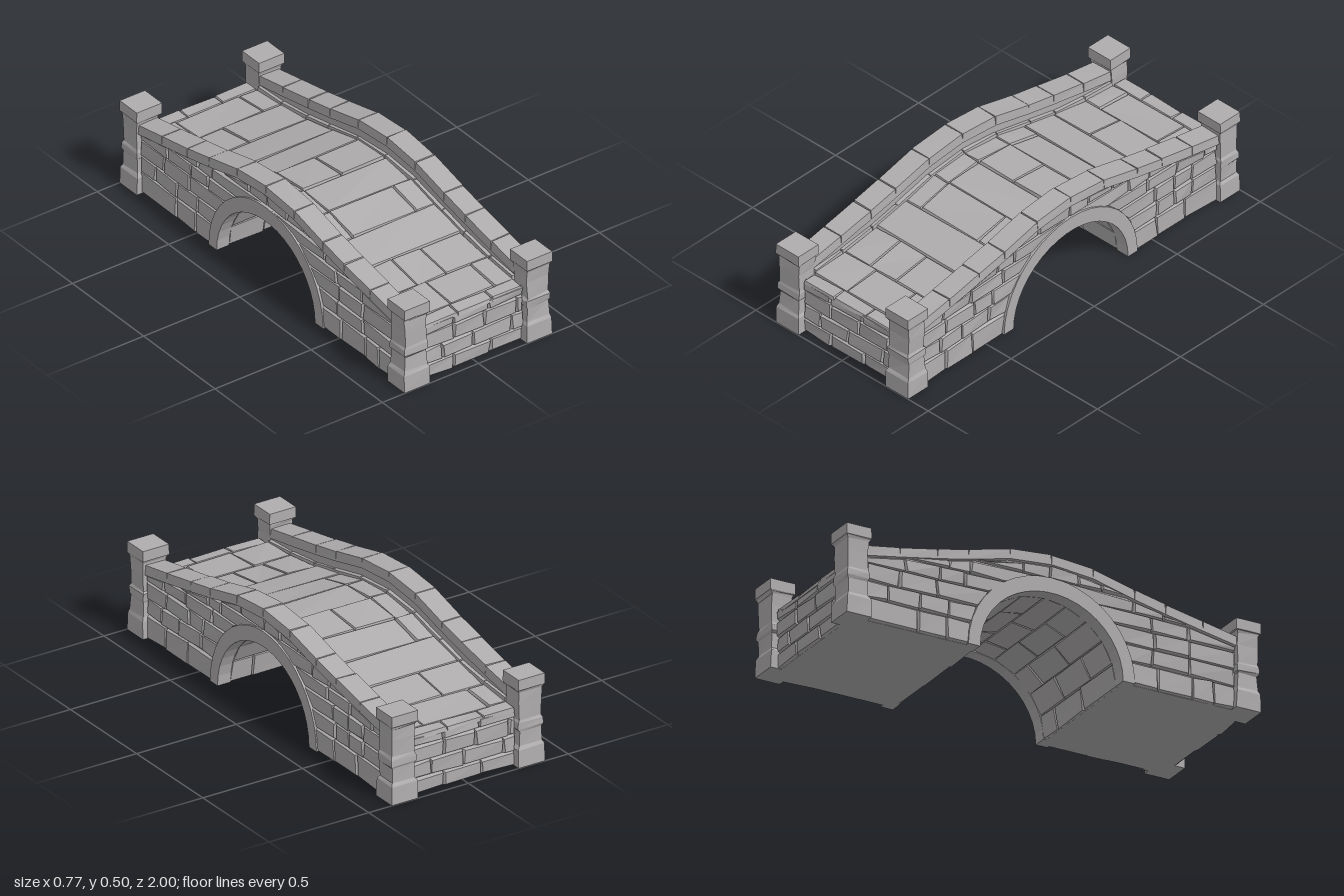
import * as THREE from 'three';
import { mergeGeometries } from 'three/addons/utils/BufferGeometryUtils.js';

const V = (x, y, z) => new THREE.Vector3(x, y, z);

// small seeded generator for uneven masonry
let seed = 7;
const rnd = (a, b) => {
  seed = (seed * 16807) % 2147483647;
  return a + (b - a) * (seed / 2147483647);
};

// straight-line interpolation through [z, y] points, mirrored in z
const profile = (pts) => (z) => {
  const d = Math.abs(z);
  for (let i = 1; i < pts.length; i++) {
    const [z0, y0] = pts[i - 1], [z1, y1] = pts[i];
    if (d <= z1) return y0 + (y1 - y0) * (d - z0) / (z1 - z0);
  }
  return pts[pts.length - 1][1];
};
const deckY = profile([[0, .406], [.19, .39], [.36, .351], [.54, .311], [.73, .284], [.9, .271], [.97, .267]]);
const copingY = profile([[0, .5], [.2, .482], [.4, .432], [.55, .4], [.73, .365], [.9, .334]]);
const COPING = .045;
const wallTop = (z) => copingY(z) - COPING;
const ringZ = (y) => .4 * Math.sqrt(Math.max(0, 1 - (y / .395) ** 2));

// six-sided block from a lower and an upper loop of four corners
function block(b, t) {
  const pos = [];
  const quad = (p, q, r, s) => [p, q, r, p, r, s].forEach((v) => pos.push(v.x, v.y, v.z));
  quad(t[0], t[1], t[2], t[3]);
  quad(b[3], b[2], b[1], b[0]);
  for (let i = 0; i < 4; i++) {
    const j = (i + 1) % 4;
    quad(b[i], b[j], t[j], t[i]);
  }
  const g = new THREE.BufferGeometry();
  g.setAttribute('position', new THREE.Float32BufferAttribute(pos, 3));
  g.computeVertexNormals();
  return g;
}

// rough stone raised from a quad along dir, with chamfered rim
function stone(quad, dir, depth, bevel, rough) {
  const n = V(0, 0, 0).crossVectors(quad[2].clone().sub(quad[0]), quad[3].clone().sub(quad[1]));
  const q = n.dot(dir) < 0 ? [...quad].reverse() : quad;
  const top = q.map((p, i) => {
    const v = p.clone().addScaledVector(dir, depth + rnd(-rough, rough));
    for (const k of [1, 3]) {
      const e = q[(i + k) % 4].clone().sub(p);
      const len = e.length();
      v.addScaledVector(e.normalize(), Math.min(bevel * rnd(.3, 1.4), len * .4));
    }
    return v;
  });
  return block(q, top);
}

const extrudeX = (shape, x0, x1) =>
  new THREE.ExtrudeGeometry(shape, { depth: x1 - x0, bevelEnabled: false }).rotateY(Math.PI / 2).translate(x0, 0, 0);

// solid slab in the z-y plane with an arched opening, spanning x0..x1
function slab(x0, x1, topFn, zEnd, rz, ry) {
  const s = new THREE.Shape();
  s.moveTo(-zEnd, 0);
  s.lineTo(-rz, 0);
  for (let i = 1; i <= 28; i++) {
    const a = Math.PI * (1 - i / 28);
    s.lineTo(rz * Math.cos(a), ry * Math.sin(a));
  }
  s.lineTo(zEnd, 0);
  const zs = [.9, .73, .54, .36, .19, 0];
  for (const z of [zEnd, ...zs, ...zs.slice(0, -1).reverse().map((z) => -z), -zEnd]) s.lineTo(z, topFn(z));
  return extrudeX(s, x0, x1);
}

export function createModel() {
  seed = 7;
  const group = new THREE.Group();
  const grey = new THREE.MeshStandardMaterial({ color: 0xb0adae });
  grey.name = 'stoneGrey';
  const add = (name, geos) => {
    const flat = geos.map((g) => {
      g.deleteAttribute('uv');
      g.clearGroups();
      return g;
    });
    const m = new THREE.Mesh(mergeGeometries(flat), grey);
    m.name = name;
    group.add(m);
  };

  // solid body and side walls
  add('bridgeCore', [slab(-.275, .275, (z) => deckY(z) - .014, .95, .357, .337)]);
  add('sideWalls', [-1, 1].map((s) =>
    slab(s > 0 ? .27 : -.346, s > 0 ? .346 : -.27, (z) => wallTop(z) + .004, .93, .357, .337)));

  // side wall bricks, fitted between arch ring, pillars and coping
  const rows = [0, .105, .185, .262, .33, .395, .46];
  const bricks = [];
  for (const sx of [-1, 1]) for (const sz of [-1, 1]) {
    for (let r = 0; r < rows.length - 1; r++) {
      const y0 = rows[r], y1 = rows[r + 1];
      let zb = ringZ(y0), zt = ringZ(y1);
      while (zb < .885) {
        let next = zb + rnd(.1, .2);
        if (next > .82) next = .89;
        const nt = Math.min(.89, next + rnd(-.008, .008));
        const ya = Math.min(y1, wallTop(zt)), yb = Math.min(y1, wallTop(nt));
        if (Math.max(ya, yb) > y0 + .012) {
          const P = (z, y) => V(sx * .344, Math.max(y0, y), sz * z);
          bricks.push(stone([P(zb, y0), P(next, y0), P(nt, yb), P(zt, ya)], V(sx, 0, 0), .014, .007, .004));
        }
        zb = next;
        zt = nt;
      }
    }
  }
  add('sideBricks', bricks);

  // end wall bricks
  const endRows = [
    [0, .068, [-.26, -.1, .09, .26]],
    [.068, .142, [-.26, -.16, 0, .2, .26]],
    [.142, .218, [-.26, -.1, .06, .23, .26]],
    [.218, .264, [-.26, -.1, .08, .26]],
  ];
  const endBricks = [];
  for (const s of [-1, 1]) for (const [y0, y1, xs] of endRows) {
    for (let i = 0; i < xs.length - 1; i++) {
      const P = (x, y) => V(s * x, y, s * .949);
      endBricks.push(stone([P(xs[i], y0), P(xs[i + 1], y0), P(xs[i + 1], y1), P(xs[i], y1)], V(0, 0, s), .015, .008, .004));
    }
  }
  add('endBricks', endBricks);

  // paving stones: z start, z end, joints across x
  const paving = [
    [-.966, -.9, [-.1, .08]], [-.9, -.73, [-.17, .16]], [-.73, -.54, [-.05]], [-.54, -.36, []],
    [-.36, -.19, [-.17]], [-.19, 0, [-.17, .03]], [0, .18, [-.17]], [.18, .35, [-.17, .16]],
    [.35, .53, []], [.53, .72, [-.11, .04]], [.72, .9, [-.07, .16]], [.9, .966, [-.08, .1]],
  ];
  const pavers = [];
  for (const [z0, z1, joints] of paving) {
    const xs = [-.255, ...joints, .255];
    for (let i = 0; i < xs.length - 1; i++) {
      const P = (x, z) => V(x, deckY(z) - .016, z);
      pavers.push(stone([P(xs[i], z1), P(xs[i + 1], z1), P(xs[i + 1], z0), P(xs[i], z0)], V(0, 1, 0), .017, .005, .004));
    }
  }
  add('deckPaving', pavers);

  // parapet coping and low kerb stones at its foot
  const coping = [], kerb = [];
  const cuts = [-.895, -.73, -.55, -.4, -.2, 0, .2, .4, .55, .73, .895];
  for (const s of [-1, 1]) for (let i = 0; i < cuts.length - 1; i++) {
    const z0 = cuts[i], z1 = cuts[i + 1];
    const strip = (xa, xb, yFn) => [[xa, z1], [xb, z1], [xb, z0], [xa, z0]].map(([x, z]) => V(s * x, yFn(z), z));
    coping.push(stone(strip(.263, .366, wallTop), V(0, 1, 0), COPING, .003, .0015));
    kerb.push(stone(strip(.252, .275, (z) => deckY(z) - .015), V(0, 1, 0), .026, .003, .003));
  }
  add('parapetCoping', coping);
  add('deckKerb', kerb);

  // arch rings on both faces
  const ring = new THREE.Shape();
  const arc = (rz, ry, from, to) => {
    for (let i = 0; i <= 20; i++) {
      const a = from + (to - from) * i / 20;
      ring.lineTo(rz * Math.cos(a), ry * Math.sin(a));
    }
  };
  ring.moveTo(.345, 0);
  arc(.402, .395, 0, Math.PI);
  arc(.345, .325, Math.PI, Math.PI / 20);
  add('archRings', [extrudeX(ring, .3, .365), extrudeX(ring, -.365, -.3)]);

  // vault stones lining the underside
  const vault = [];
  const N = 10;
  for (let i = 0; i < N; i++) {
    const a0 = Math.PI * i / N, a1 = Math.PI * (i + 1) / N, am = (a0 + a1) / 2;
    const xs = i % 2 ? [-.302, -.12, .1, .302] : [-.302, -.03, .19, .302];
    for (let k = 0; k < xs.length - 1; k++) {
      const P = (x, a) => V(x, .338 * Math.sin(a), .358 * Math.cos(a));
      vault.push(stone([P(xs[k], a0), P(xs[k + 1], a0), P(xs[k + 1], a1), P(xs[k], a1)],
        V(0, -Math.sin(am), -Math.cos(am)), .01, .005, .002));
    }
  }
  add('vaultStones', vault);

  // corner pillars: height, half width, half depth
  const levels = [
    [0, .066, .06], [.082, .066, .059], [.098, .057, .05], [.165, .055, .047], [.175, .062, .053],
    [.204, .062, .054], [.216, .056, .048], [.295, .056, .047], [.345, .058, .049], [.357, .062, .055],
    [.361, .0665, .06], [.41, .0655, .06],
  ];
  const pillars = [];
  for (const sx of [-1, 1]) for (const sz of [-1, 1]) {
    const loops = levels.map(([y, hx, hz], i) => {
      const j = () => (i === 0 || i > 9 ? 0 : rnd(-.003, .003));
      return [[-1, 1], [1, 1], [1, -1], [-1, -1]].map(([a, b]) =>
        V(sx * .318 + a * hx + j(), y + j(), sz * .94 + b * hz + j()));
    });
    for (let i = 1; i < loops.length; i++) pillars.push(block(loops[i - 1], loops[i]));
  }
  add('cornerPillars', pillars);

  return group;
}
